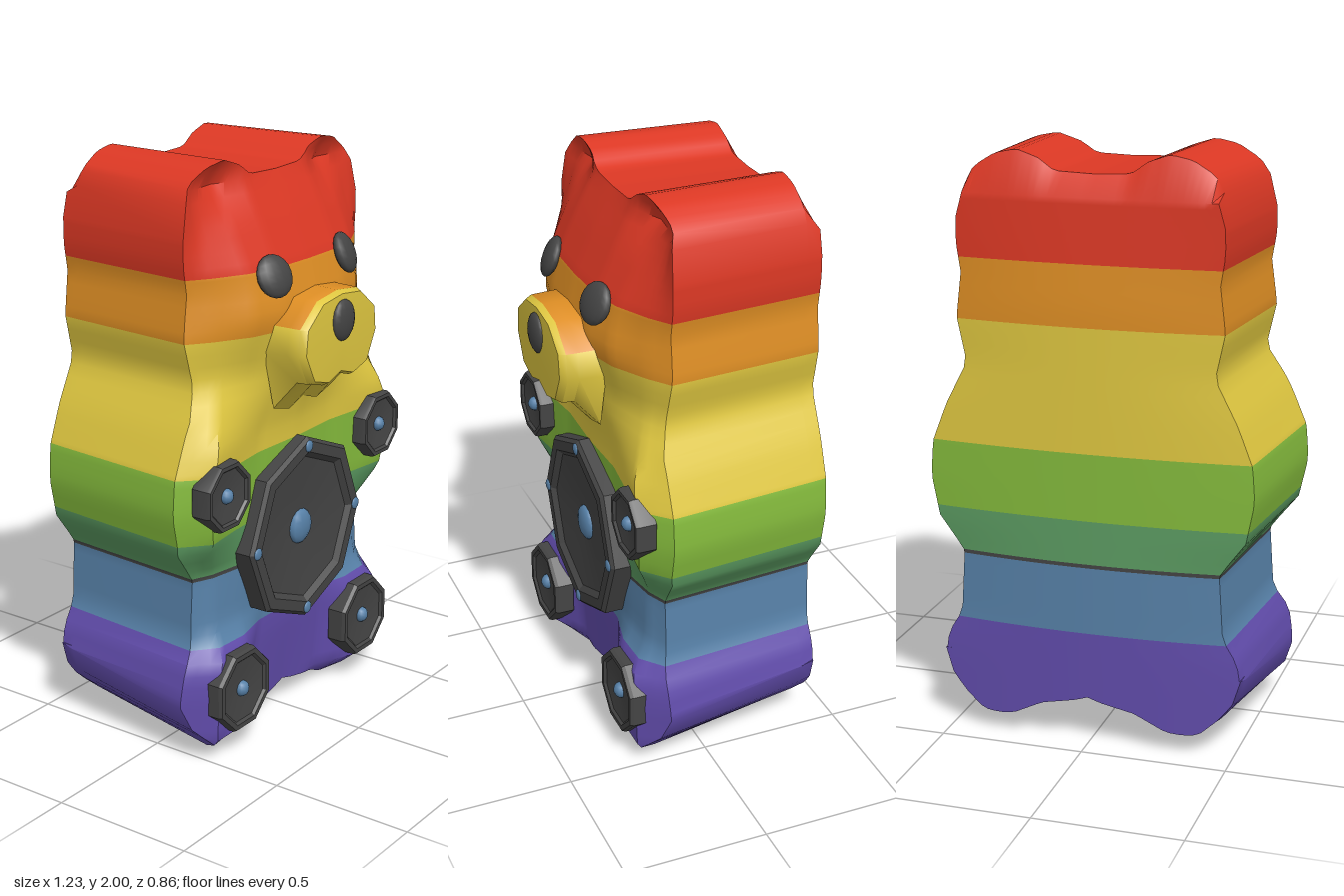
import * as THREE from 'three';
import { toCreasedNormals } from 'three/addons/utils/BufferGeometryUtils.js';

const mat = (name, color) => Object.assign(new THREE.MeshStandardMaterial({ color }), { name });

// Piecewise-linear lookup through [key, value] pairs
function lerpTable(table, k) {
  if (k <= table[0][0]) return table[0][1];
  for (let i = 1; i < table.length; i++) {
    const [k0, v0] = table[i - 1], [k1, v1] = table[i];
    if (k <= k1) return v0 + (v1 - v0) * (k - k0) / (k1 - k0);
  }
  return table[table.length - 1][1];
}

// Half width by height, and the ear and foot outlines by |x|
const WIDTH = [[0.25, 0.575], [0.34, 0.56], [0.42, 0.505], [0.64, 0.49], [0.68, 0.52], [0.76, 0.585], [0.9, 0.615],
  [1.02, 0.605], [1.15, 0.55], [1.3, 0.465], [1.45, 0.5], [1.6, 0.48], [1.7, 0.497], [1.76, 0.495]];
const TOP = [[0, 1.93], [0.14, 1.935], [0.2, 1.975], [0.28, 2], [0.36, 1.985], [0.44, 1.94], [0.475, 1.88], [0.495, 1.78]];
const BOTTOM = [[0, 0.1], [0.05, 0.085], [0.18, 0.06], [0.3, 0.005], [0.36, 0], [0.42, 0.005], [0.5, 0.07], [0.55, 0.13], [0.575, 0.21]];

// Front relief: depth at five stations from the middle to the side
const STATIONS = [0, 0.35, 0.6, 0.85, 1];
const RELIEF = [
  [0, [0.1, 0.12, 0.14, 0.14, 0.12]], [0.07, [0.17, 0.18, 0.25, 0.25, 0.15]],
  [0.35, [0.2, 0.2, 0.26, 0.26, 0.17]], [0.45, [0.2, 0.2, 0.2, 0.19, 0.15]],
  [0.65, [0.22, 0.22, 0.2, 0.18, 0.15]], [0.8, [0.22, 0.22, 0.23, 0.25, 0.17]],
  [1.1, [0.23, 0.22, 0.24, 0.26, 0.17]], [1.2, [0.26, 0.24, 0.23, 0.22, 0.17]],
  [1.3, [0.28, 0.26, 0.22, 0.18, 0.14]], [1.5, [0.31, 0.3, 0.27, 0.19, 0.13]],
  [1.65, [0.27, 0.265, 0.24, 0.18, 0.13]], [1.8, [0.2, 0.195, 0.17, 0.13, 0.13]],
  [1.93, [0.13, 0.13, 0.08, 0.1, 0.13]], [2, [0.13, 0.13, 0.13, 0.13, 0.13]],
];
const frontZ = (u, y) => lerpTable(STATIONS.map((s, i) =>
  [s, lerpTable(RELIEF.map(([h, zs]) => [h, zs[i]]), y)]), Math.abs(u));

// Body point on layer 0 (front), 1 (rear rim) or 2 (back)
function bodyPoint(u, row, layer) {
  const x = u * lerpTable(WIDTH, row), ax = Math.abs(x);
  let top = lerpTable(TOP, ax);
  if (layer === 2) top = Math.min(top, 1.86);
  const y = Math.min(Math.max(row, lerpTable(BOTTOM, ax) + [0, 0.06, 0.07][layer]), top);
  const z = layer === 0 ? frontZ(u, y) : layer === 1 ? -0.35
    : -0.4 - 0.03 * (1 - u * u) * Math.min(1, (2 - y) / 0.5);
  return new THREE.Vector3(x * [1, 0.92, 0.91][layer], y, z);
}

// Adds a quad as two triangles, dropping collapsed ones
function pushQuad(out, a, b, c, d) {
  for (const [p, q, r] of [[a, b, c], [a, c, d]]) {
    const n = q.clone().sub(p).cross(r.clone().sub(p));
    if (n.length() > 1e-8) for (const v of [p, q, r]) out.push(v.x, v.y, v.z);
  }
}

// One geometry with a material group per list of triangles
function groupedGeometry(lists, crease) {
  const g = new THREE.BufferGeometry();
  g.setAttribute('position', new THREE.Float32BufferAttribute(lists.flat(), 3));
  let start = 0;
  lists.forEach((l, i) => { g.addGroup(start, l.length / 3, i); start += l.length / 3; });
  return toCreasedNormals(g, crease);
}

function buildBody(bandTops) {
  const rows = [...bandTops];
  for (let i = 0; i <= 50; i++) {
    const y = i * 0.04;
    if (bandTops.every(b => Math.abs(b - y) > 0.008)) rows.push(y);
  }
  rows.sort((a, b) => a - b);
  const cols = 40, R = rows.length - 1;
  const grid = [0, 1, 2].map(l => rows.map(y =>
    Array.from({ length: cols + 1 }, (_, i) => bodyPoint(i / cols * 2 - 1, y, l))));
  const [F, , B] = grid;
  const lists = bandTops.map(() => []);
  for (let j = 0; j < R; j++) {
    const mid = (rows[j] + rows[j + 1]) / 2;
    const out = lists[bandTops.findIndex(t => mid < t)];
    for (let i = 0; i < cols; i++) {
      pushQuad(out, F[j][i], F[j][i + 1], F[j + 1][i + 1], F[j + 1][i]);
      pushQuad(out, B[j][i + 1], B[j][i], B[j + 1][i], B[j + 1][i + 1]);
    }
    // side walls
    for (let l = 0; l < 2; l++) {
      const P = grid[l], Q = grid[l + 1];
      pushQuad(out, P[j][cols], Q[j][cols], Q[j + 1][cols], P[j + 1][cols]);
      pushQuad(out, Q[j][0], P[j][0], P[j + 1][0], Q[j + 1][0]);
    }
  }
  // crown and underside
  for (let l = 0; l < 2; l++) for (let i = 0; i < cols; i++) {
    const P = grid[l], Q = grid[l + 1];
    pushQuad(lists[lists.length - 1], P[R][i], P[R][i + 1], Q[R][i + 1], Q[R][i]);
    pushQuad(lists[0], Q[0][i], Q[0][i + 1], P[0][i + 1], P[0][i]);
  }
  return groupedGeometry(lists, 0.7);
}

// Muzzle lofted from its outline; the upper rear edge goes in the second group
function buildMuzzle() {
  const half = [[0.08, 1.25], [0.17, 1.275], [0.225, 1.38], [0.215, 1.47], [0.12, 1.545]];
  const outline = [[0, 1.275], ...half, [0, 1.56], ...half.map(([x, y]) => [-x, y]).reverse()];
  const ring = (z, s, drop) => outline.map(([x, y]) =>
    new THREE.Vector3(x * s, 1.42 + (y - 1.42) * s - (y < 1.3 ? drop : 0), z));
  const rings = [ring(0.25, 1.02, 0.1), ring(0.34, 1, 0), ring(0.38, 0.99, 0), ring(0.402, 0.92, 0)];
  const tip = new THREE.Vector3(0, 1.42, 0.41), lists = [[], []], n = outline.length;
  for (let i = 0; i < n; i++) {
    const k = (i + 1) % n, upper = outline[i][1] > 1.46 && outline[k][1] > 1.46;
    for (let r = 0; r < 3; r++)
      pushQuad(lists[upper && r < 2 ? 1 : 0], rings[r][i], rings[r][k], rings[r + 1][k], rings[r + 1][i]);
    pushQuad(lists[0], rings[3][i], rings[3][k], tip, tip);
  }
  return groupedGeometry(lists, 0.8);
}

export function createModel() {
  const bear = new THREE.Group();
  bear.name = 'bear';
  const violet = mat('violet', 0x614cab), blue = mat('blue', 0x5781a8), charcoal = mat('charcoal', 0x444444);
  const teal = mat('dark green', 0x5c9c62), green = mat('green', 0x84ba3c), yellow = mat('yellow', 0xdfc740);
  const orange = mat('orange', 0xde8e24), red = mat('red', 0xdc3824);

  const add = (parent, name, geometry, material, x = 0, y = 0, z = 0) => {
    const m = new THREE.Mesh(geometry, material);
    m.name = name;
    m.position.set(x, y, z);
    parent.add(m);
    return m;
  };

  add(bear, 'body', buildBody([0.4, 0.632, 0.645, 0.795, 1.025, 1.445, 1.65, 2]),
    [violet, blue, charcoal, teal, green, yellow, orange, red]);
  add(bear, 'muzzle', buildMuzzle(), [yellow, orange]);

  // Eyes and nose
  const bead = new THREE.SphereGeometry(1, 14, 10);
  for (const s of [-1, 1]) {
    const eye = add(bear, s > 0 ? 'leftEye' : 'rightEye', bead, charcoal, s * 0.207, 1.63, 0.275);
    eye.scale.set(0.07, 0.072, 0.028);
    eye.rotation.set(-0.4, s * 0.25, 0);
  }
  add(bear, 'nose', bead, charcoal, 0, 1.46, 0.405).scale.set(0.063, 0.07, 0.024);

  // Eight-sided speaker with a rim, a shallow cone and a blue centre cap
  function speaker(name, x, y, front, r, depth, recess, turn, cap) {
    const g = new THREE.Group();
    g.name = name;
    g.position.set(x, y, front);
    const profile = [[r, -depth], [r, -0.012], [r * 0.96, 0], [r * 0.84, 0], [r * 0.78, -recess * 0.5],
      [r * 0.3, -recess], [0, -recess]].map(p => new THREE.Vector2(...p));
    const lathe = new THREE.LatheGeometry(profile, 8, turn).rotateX(Math.PI / 2);
    add(g, 'cone', toCreasedNormals(lathe, 0.4), charcoal);
    add(g, 'centreCap', new THREE.SphereGeometry(1, 10, 8), blue, 0, 0, -recess).scale.set(cap, cap, Math.min(cap, 0.025));
    bear.add(g);
    return g;
  }
  const main = speaker('bellySpeaker', 0, 0.7, 0.278, 0.33, 0.12, 0.035, 0, 0.062);
  for (let i = 0; i < 4; i++) {
    const a = i * Math.PI / 2;
    add(main, 'bolt', bead, blue, Math.cos(a) * 0.297, Math.sin(a) * 0.297, 0).scale.set(0.021, 0.021, 0.008);
  }
  for (const s of [-1, 1]) {
    const side = s > 0 ? 'left' : 'right';
    speaker(side + 'ArmSpeaker', s * 0.458, 0.953, 0.284, 0.122, 0.07, 0.018, Math.PI / 8, 0.026);
    speaker(side + 'LegSpeaker', s * 0.373, 0.237, 0.284, 0.15, 0.07, 0.018, Math.PI / 8, 0.028);
  }
  return bear;
}
